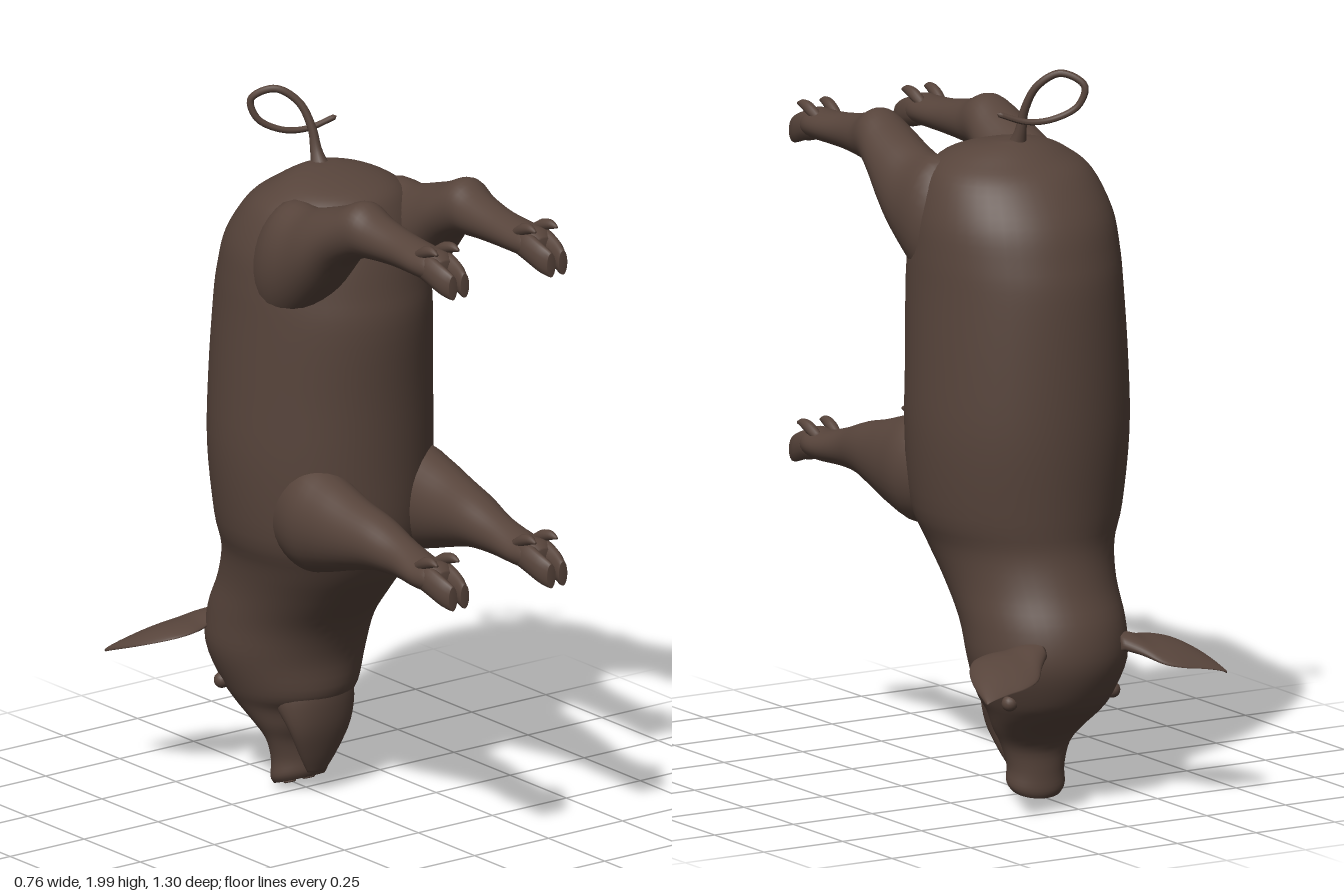
import * as THREE from 'three';

const hide = new THREE.MeshStandardMaterial({ color: 0x57443b });
hide.name = 'dark brown hide';

// Maps (distance along axis, first offset, second offset) to x, y, z
const AXES = {
  x: (t, a, b) => [t, b, a],
  y: (t, a, b) => [a, t, b],
  z: (t, a, b) => [a, b, t],
};

const spline = (a, b, c, d, t) =>
  0.5 * (2 * b + (c - a) * t + (2 * a - 5 * b + 4 * c - d) * t * t + (3 * b - a - 3 * c + d) * t * t * t);

// Smooth closed loft through rows of [position, centreA, centreB, radiusA, radiusB]
function loft(rows, axis, { sides = 32, steps = 4, mirror = 1, bend } = {}) {
  const rings = [];
  const last = rows.length - 1;
  for (let i = 0; i < last; i++) {
    const [a, b, c, d] = [rows[Math.max(i - 1, 0)], rows[i], rows[i + 1], rows[Math.min(i + 2, last)]];
    for (let s = 0; s < steps; s++) rings.push(b.map((_, k) => spline(a[k], b[k], c[k], d[k], s / steps)));
  }
  rings.push(rows[last]);

  const pos = [], index = [];
  const add = (r, u, v) => {
    const p = new THREE.Vector3(...AXES[axis](r[0], r[1] + r[3] * u, r[2] + r[4] * v));
    if (bend) bend(p, r);
    pos.push(p.x * mirror, p.y, p.z);
  };
  for (const r of rings) {
    for (let j = 0; j < sides; j++) {
      const angle = (j / sides) * Math.PI * 2;
      add(r, Math.cos(angle), Math.sin(angle));
    }
  }
  add(rings[0], 0, 0);
  add(rings.at(-1), 0, 0);
  const n = rings.length, start = n * sides, end = start + 1;
  for (let j = 0; j < sides; j++) {
    const k = (j + 1) % sides;
    for (let i = 0; i < n - 1; i++) {
      const a = i * sides + j, b = i * sides + k;
      index.push(a, a + sides, b, b, a + sides, b + sides);
    }
    index.push(start, j, k, end, (n - 1) * sides + k, (n - 1) * sides + j);
  }

  // Turn the faces outward if the enclosed volume is negative
  const at = (i) => new THREE.Vector3().fromArray(pos, i * 3);
  let volume = 0;
  for (let i = 0; i < index.length; i += 3) {
    volume += at(index[i]).dot(at(index[i + 1]).cross(at(index[i + 2])));
  }
  if (volume < 0) index.reverse();

  const geometry = new THREE.BufferGeometry();
  geometry.setAttribute('position', new THREE.Float32BufferAttribute(pos, 3));
  geometry.setIndex(index);
  geometry.computeVertexNormals();
  return geometry;
}

// Snout at the bottom, rump at the top
const BODY = [
  [0.025, 0, -0.28, 0.074, 0.056], [0.045, 0, -0.28, 0.085, 0.063], [0.09, 0, -0.28, 0.084, 0.061],
  [0.15, 0, -0.28, 0.102, 0.067], [0.2, 0, -0.295, 0.13, 0.105], [0.25, 0, -0.32, 0.155, 0.15],
  [0.3, 0, -0.325, 0.18, 0.195], [0.4, 0, -0.34, 0.215, 0.22], [0.5, 0, -0.315, 0.22, 0.235],
  [0.6, 0, -0.253, 0.225, 0.253], [0.7, 0, -0.2, 0.245, 0.28], [0.8, 0, -0.182, 0.28, 0.303],
  [1.0, 0, -0.187, 0.3, 0.313], [1.2, 0, -0.185, 0.295, 0.315], [1.4, 0, -0.175, 0.285, 0.315],
  [1.5, 0, -0.172, 0.28, 0.298], [1.6, 0, -0.165, 0.268, 0.27], [1.7, 0, -0.145, 0.23, 0.215],
  [1.75, 0, -0.13, 0.175, 0.16], [1.78, 0, -0.15, 0.11, 0.09], [1.795, 0, -0.175, 0.04, 0.03],
];
const JAW = [
  [0.34, 0, -0.25, 0.12, 0.11], [0.28, 0, -0.22, 0.125, 0.085], [0.2, 0, -0.19, 0.1, 0.046],
  [0.12, 0, -0.194, 0.062, 0.026], [0.065, 0, -0.203, 0.03, 0.012],
];
const FRONT_LEG = [
  [-0.12, 0.16, 0.86, 0.08, 0.1], [0, 0.165, 0.87, 0.11, 0.15], [0.1, 0.17, 0.87, 0.1, 0.13],
  [0.2, 0.17, 0.87, 0.085, 0.1], [0.3, 0.165, 0.87, 0.072, 0.075], [0.4, 0.163, 0.855, 0.057, 0.055],
  [0.5, 0.167, 0.84, 0.06, 0.043], [0.56, 0.167, 0.84, 0.054, 0.043], [0.59, 0.166, 0.832, 0.036, 0.03],
];
const HIND_LEG = [
  [-0.2, 0.16, 1.52, 0.08, 0.12], [-0.1, 0.17, 1.56, 0.11, 0.18], [0, 0.175, 1.595, 0.105, 0.15],
  [0.08, 0.178, 1.645, 0.1, 0.122], [0.16, 0.175, 1.705, 0.09, 0.088], [0.235, 0.172, 1.742, 0.075, 0.08],
  [0.3, 0.168, 1.735, 0.065, 0.062], [0.4, 0.165, 1.727, 0.057, 0.049], [0.5, 0.167, 1.722, 0.06, 0.043],
  [0.56, 0.167, 1.72, 0.054, 0.043], [0.59, 0.166, 1.712, 0.036, 0.03],
];
const EAR = [
  [0.12, -0.5, 0.45, 0.03, 0.022], [0.16, -0.51, 0.447, 0.06, 0.02], [0.2, -0.525, 0.442, 0.09, 0.015],
  [0.25, -0.53, 0.44, 0.105, 0.011], [0.3, -0.54, 0.432, 0.1, 0.009], [0.34, -0.567, 0.418, 0.077, 0.008],
  [0.365, -0.6, 0.405, 0.046, 0.007], [0.38, -0.64, 0.395, 0.006, 0.004],
];
// Toe and dewclaw, relative to the foot centre
const TOE = [
  [0.51, 0.026, 0, 0.024, 0.034], [0.56, 0.029, -0.004, 0.025, 0.04], [0.61, 0.027, -0.02, 0.021, 0.04],
  [0.64, 0.021, -0.031, 0.016, 0.037], [0.65, 0.02, -0.034, 0.014, 0.034],
];
const DEWCLAW = [
  [0.5, 0.03, 0.022, 0.012, 0.014], [0.54, 0.033, 0.042, 0.016, 0.018],
  [0.575, 0.035, 0.052, 0.012, 0.013], [0.6, 0.036, 0.05, 0.004, 0.004],
];

// Curly tail: a tube that narrows toward its tip
function tailGeometry() {
  const curve = new THREE.CatmullRomCurve3([
    [0, 1.76, -0.18], [0, 1.82, -0.205], [-0.003, 1.88, -0.22], [-0.025, 1.95, -0.25], [-0.075, 1.987, -0.29],
    [-0.122, 1.955, -0.335], [-0.108, 1.9, -0.325], [-0.05, 1.865, -0.295], [0.02, 1.86, -0.272], [0.1, 1.887, -0.245],
  ].map((p) => new THREE.Vector3(...p)));
  const rings = 80, sides = 12;
  const geometry = new THREE.TubeGeometry(curve, rings, 0.012, sides);
  const pos = geometry.attributes.position;
  const p = new THREE.Vector3();
  for (let i = 0; i <= rings; i++) {
    const u = i / rings, centre = curve.getPointAt(u);
    const width = (1 - 0.35 * u + 2.4 * Math.exp(-u * 18)) * (i === rings ? 0.02 : 1);
    for (let j = 0; j <= sides; j++) {
      const k = i * (sides + 1) + j;
      p.fromBufferAttribute(pos, k).sub(centre).multiplyScalar(width).add(centre);
      pos.setXYZ(k, p.x, p.y, p.z);
    }
  }
  geometry.computeVertexNormals();
  return geometry;
}

export function createModel() {
  const model = new THREE.Group();
  model.name = 'pig';
  const add = (name, geometry, parent = model) => {
    const mesh = new THREE.Mesh(geometry, hide);
    mesh.name = name;
    parent.add(mesh);
    return mesh;
  };

  // Body and head, with the snout disc sloped
  const slopeSnout = (p) => { p.y += (p.z + 0.28) * 0.4 * Math.max(0, 1 - p.y / 0.18); };
  add('body', loft(BODY, 'y', { sides: 48, bend: slopeSnout }));
  add('lowerJaw', loft(JAW, 'y'));
  add('tail', tailGeometry());

  for (const mirror of [1, -1]) {
    const side = mirror > 0 ? 'left' : 'right';

    // Ears tilt backward and cup underneath
    const cup = (p, r) => { p.y += 0.25 * (p.z + 0.53) - 2 * (p.z - r[1]) ** 2; };
    add(`${side}Ear`, loft(EAR, 'x', { mirror, bend: cup }));

    // Eyes and nostril rims
    const eye = add(`${side}Eye`, new THREE.SphereGeometry(0.022, 16, 12));
    eye.position.set(0.163 * mirror, 0.3, -0.41);
    const nostril = add(`${side}Nostril`, new THREE.TorusGeometry(0.014, 0.004, 8, 16));
    nostril.rotation.x = Math.PI / 2 - 0.35;
    nostril.position.set(0.032 * mirror, 0.022, -0.28);

    // Legs with two toes and two dewclaws each
    for (const [name, rows, footY] of [['FrontLeg', FRONT_LEG, 0.84], ['HindLeg', HIND_LEG, 1.72]]) {
      const leg = new THREE.Group();
      leg.name = side + name;
      model.add(leg);
      add('limb', loft(rows, 'z', { mirror }), leg);
      for (const s of [1, -1]) {
        const place = (r) => [r[0], 0.166 + s * r[1], footY + r[2], r[3], r[4]];
        add('toe', loft(TOE.map(place), 'z', { mirror, sides: 16 }), leg);
        add('dewclaw', loft(DEWCLAW.map(place), 'z', { mirror, sides: 12 }), leg);
      }
    }
  }
  return model;
}
